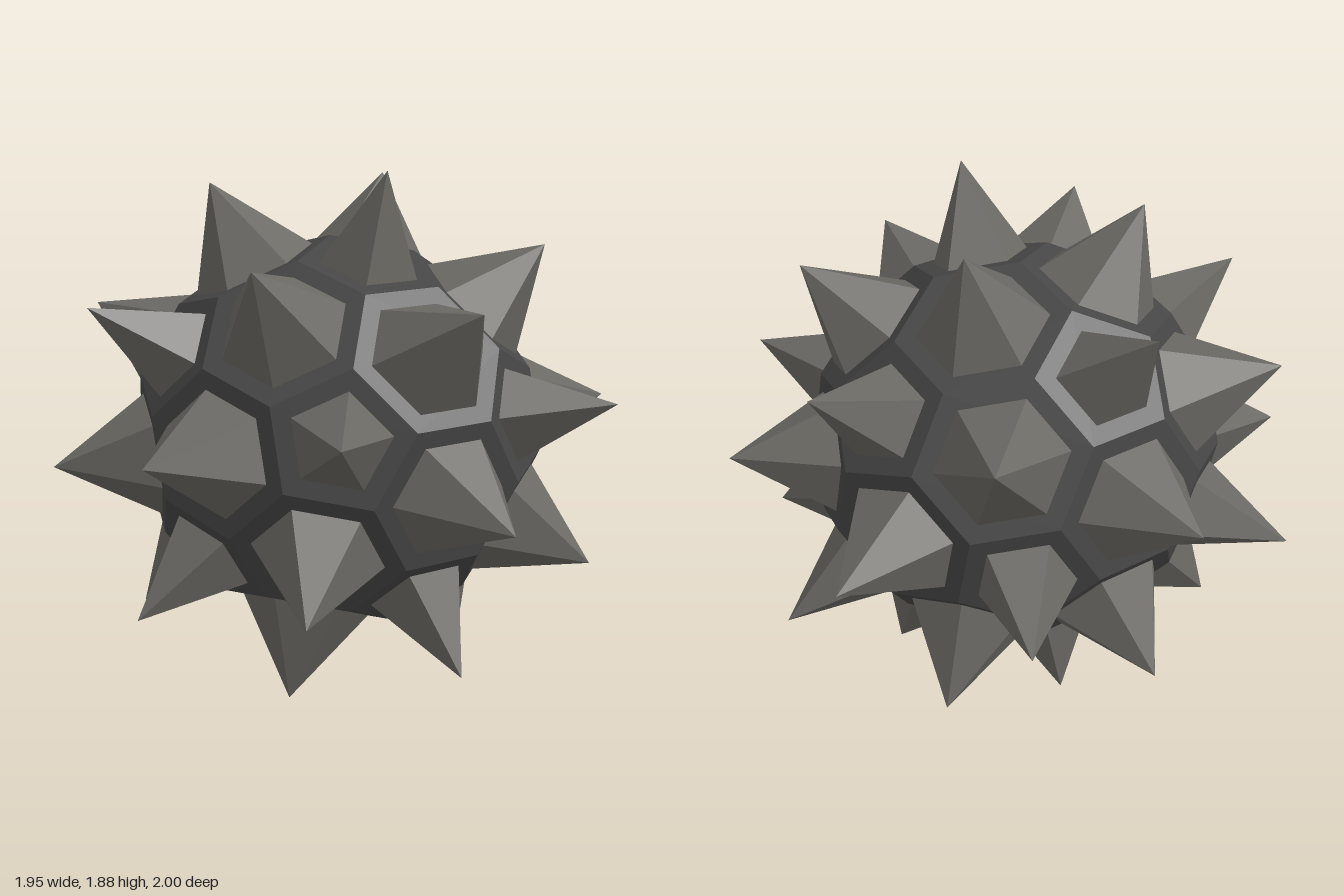
import * as THREE from 'three';
import { ConvexGeometry } from 'three/addons/geometries/ConvexGeometry.js';

const BODY_RADIUS = 0.71; // centre to corner of the football-shaped core
const INSET = 0.06;       // band left around each spike base
const TIP = 1.52;         // spike tip, as a multiple of its face centre

export function createModel() {
  const group = new THREE.Group();
  group.name = 'spikedBall';
  const bodyMat = new THREE.MeshStandardMaterial({ color: 0x464646, flatShading: true });
  const spikeMat = new THREE.MeshStandardMaterial({ color: 0x6a6863, flatShading: true });

  // twelve icosahedron directions: the pentagon centres
  const phi = (1 + Math.sqrt(5)) / 2;
  const P = [];
  for (const s of [-1, 1]) for (const t of [-phi, phi]) {
    for (const p of [[0, s, t], [s, t, 0], [t, 0, s]]) P.push(new THREE.Vector3(...p).normalize());
  }
  const near = (a, b) => a !== b && a.dot(b) > 0.4;

  // sixty corners, each a third of the way along an icosahedron edge
  const corners = [];
  for (const a of P) for (const b of P) {
    if (near(a, b)) corners.push(a.clone().multiplyScalar(2).add(b).setLength(BODY_RADIUS));
  }

  // the core is slightly oblate: wider across x, flatter along one hexagon axis
  const flatAxis = new THREE.Vector3(0, -0.934, 0.357);
  const oblate = (p) => {
    const q = p.clone().addScaledVector(flatAxis, -0.02 * p.dot(flatAxis));
    q.x *= 1.03;
    return q;
  };
  const body = new THREE.Mesh(new ConvexGeometry(corners.map(oblate)), bodyMat);
  body.name = 'body';
  group.add(body);

  // pyramid on the face with the given outward direction
  function addSpike(dir, sides) {
    const ring = corners.slice().sort((a, b) => b.dot(dir) - a.dot(dir)).slice(0, sides);
    const centre = dir.clone().multiplyScalar(ring[0].dot(dir));
    const e1 = ring[0].clone().sub(centre);
    const e2 = dir.clone().cross(e1);
    const angle = (p) => Math.atan2(p.dot(e2), p.dot(e1));
    ring.sort((a, b) => angle(a) - angle(b));

    const inset = INSET / (e1.length() * Math.cos(Math.PI / sides));
    const base = ring.map((p) => oblate(p.clone().lerp(centre, inset)));
    const tip = oblate(centre).multiplyScalar(TIP);
    const points = base.flatMap((p, i) => [p, base[(i + 1) % sides], tip]);
    const geo = new THREE.BufferGeometry().setFromPoints(points);
    geo.computeVertexNormals();
    const spike = new THREE.Mesh(geo, spikeMat);
    spike.name = sides === 5 ? 'pentagonSpike' : 'hexagonSpike';
    group.add(spike);
  }

  P.forEach((p) => addSpike(p, 5));
  for (let i = 0; i < 12; i++) for (let j = i + 1; j < 12; j++) for (let k = j + 1; k < 12; k++) {
    if (near(P[i], P[j]) && near(P[j], P[k]) && near(P[i], P[k])) {
      addSpike(P[i].clone().add(P[j]).add(P[k]).normalize(), 6);
    }
  }

  // tilt of the whole ball
  const u = new THREE.Vector3(0.133, 0.646, 0.752).normalize();
  const v = new THREE.Vector3(-0.121, -0.743, 0.659);
  v.addScaledVector(u, -v.dot(u)).normalize();
  group.setRotationFromMatrix(new THREE.Matrix4().makeBasis(v.clone().cross(u), v, u));
  group.position.set(-0.012, 0.945, 0.005);
  return group;
}
